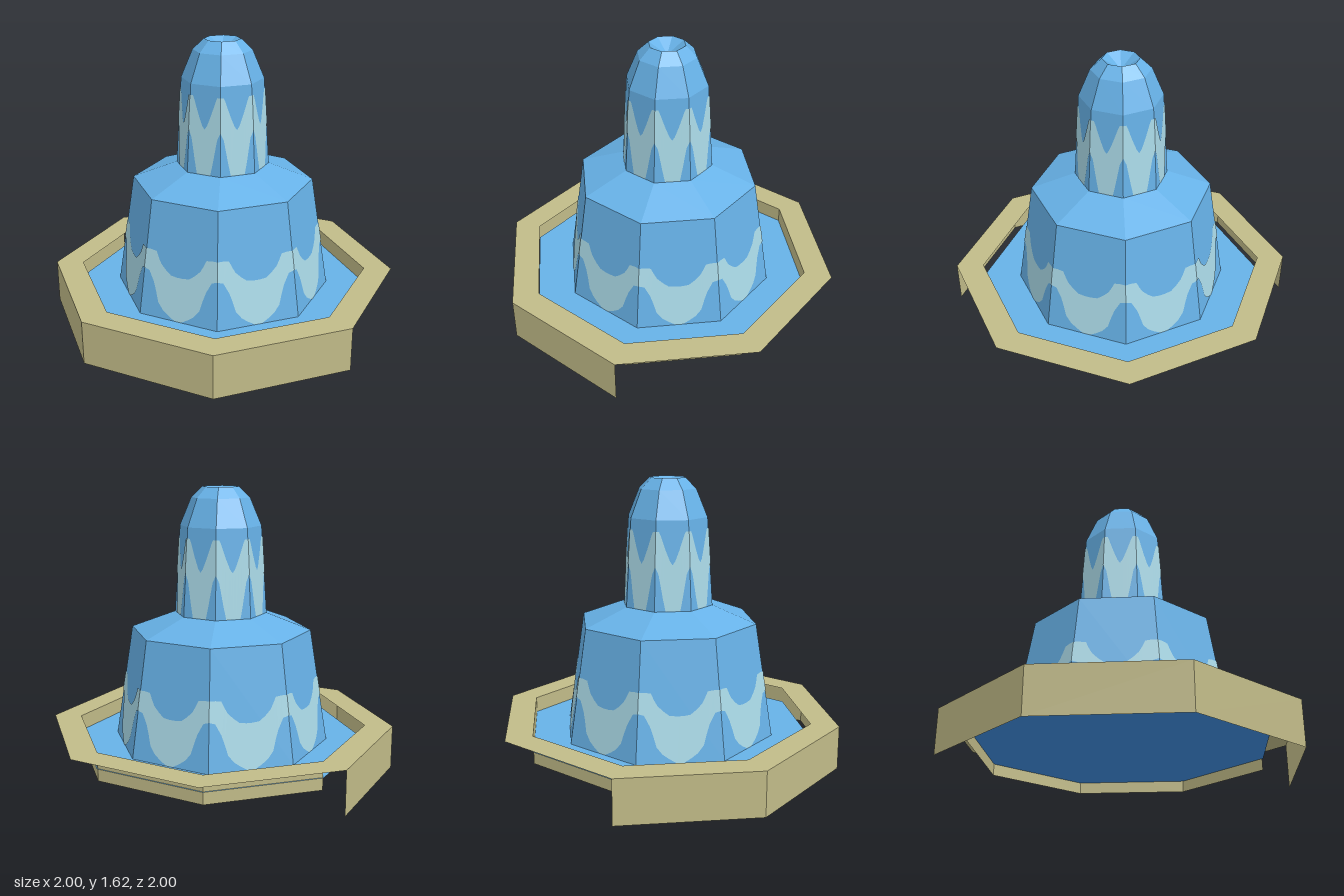
import * as THREE from 'three';

const SIDES = 8;
const stone = new THREE.MeshStandardMaterial({ name: 'sandstone', color: 0xc1bb88, flatShading: true, side: THREE.DoubleSide });
const water = new THREE.MeshStandardMaterial({ name: 'waterBlue', color: 0x67b2e8, flatShading: true });
const deepWater = new THREE.MeshStandardMaterial({ name: 'deepBlue', color: 0x3f8cdd, flatShading: true });
const foam = new THREE.MeshStandardMaterial({ name: 'paleFoam', color: 0xacdcea, flatShading: true });

function add(group, name, geometry, material, y = 0) {
  const mesh = new THREE.Mesh(geometry, material);
  mesh.name = name;
  mesh.position.y = y;
  group.add(mesh);
}

// Octagonal solid of revolution from [radius, height] pairs, bottom to top
function tier(profile) {
  return new THREE.LatheGeometry(profile.map(([r, y]) => new THREE.Vector2(r, y)), SIDES);
}

// Zigzag foam skin lying on a tapered octagonal tier.
// Rows are [t, low, high], t running from a facet edge (0) to its middle (1).
function foamBand(rows, [r0, y0], [r1, y1]) {
  const mirrored = rows.slice(0, -1).reverse().map(([t, lo, hi]) => [2 - t, lo, hi]);
  const columns = [...rows, ...mirrored];
  const positions = [];
  for (let k = 0; k < SIDES; k++) {
    const a = (k / SIDES) * Math.PI * 2;
    const b = ((k + 1) / SIDES) * Math.PI * 2;
    const point = (t, y) => {
      const r = r0 + ((r1 - r0) * (y - y0)) / (y1 - y0) + 0.003;
      const f = t / 2;
      return [
        r * (Math.sin(a) * (1 - f) + Math.sin(b) * f),
        y,
        r * (Math.cos(a) * (1 - f) + Math.cos(b) * f),
      ];
    };
    for (let i = 0; i < columns.length - 1; i++) {
      const [t0, lo0, hi0] = columns[i];
      const [t1, lo1, hi1] = columns[i + 1];
      const p = point(t0, lo0), q = point(t1, lo1), s = point(t1, hi1), u = point(t0, hi0);
      positions.push(...p, ...q, ...s, ...p, ...s, ...u);
    }
  }
  const geometry = new THREE.BufferGeometry();
  geometry.setAttribute('position', new THREE.Float32BufferAttribute(positions, 3));
  geometry.computeVertexNormals();
  return geometry;
}

export function createModel() {
  const fountain = new THREE.Group();
  fountain.name = 'fountain';

  // Basin: full flat rim, tall outer wall in front, short inner wall behind
  const basin = new THREE.Group();
  basin.name = 'basin';
  fountain.add(basin);
  add(basin, 'rim', new THREE.RingGeometry(0.84, 1, SIDES).rotateX(-Math.PI / 2), stone, 0.25);
  add(basin, 'frontOuterWall',
    new THREE.CylinderGeometry(1, 1, 0.25, SIDES / 2, 1, true, -Math.PI / 2, Math.PI), stone, 0.125);
  add(basin, 'backInnerWall',
    new THREE.CylinderGeometry(0.84, 0.84, 0.16, SIDES / 2, 1, true, Math.PI / 2, Math.PI), stone, 0.17);

  // Water sheet: bright above, deep blue underneath
  add(basin, 'waterSurface', new THREE.CircleGeometry(0.846, SIDES).rotateX(-Math.PI / 2), water, 0.16);
  add(basin, 'waterUnderside', new THREE.CircleGeometry(0.846, SIDES).rotateX(Math.PI / 2), deepWater, 0.157);

  // Lower cascade with its sloping shoulder
  const lowerBase = [0.62, 0.16], lowerTop = [0.515, 0.81];
  add(fountain, 'lowerCascade', tier([lowerBase, lowerTop, [0.263, 0.905]]), water);
  add(fountain, 'lowerFoam', foamBand([
    [0, 0.43, 0.54], [0.15, 0.42, 0.54], [0.3, 0.36, 0.535], [0.38, 0.31, 0.5],
    [0.46, 0.25, 0.47], [0.6, 0.21, 0.44], [0.75, 0.185, 0.415], [0.92, 0.162, 0.41], [1, 0.162, 0.41],
  ], lowerBase, lowerTop), foam);

  // Upper jet with a rounded crown and a sunken centre
  const upperBase = [0.263, 0.905], upperTop = [0.23, 1.4];
  add(fountain, 'upperJet',
    tier([upperBase, upperTop, [0.165, 1.555], [0.102, 1.615], [0, 1.55]]), water);
  add(fountain, 'upperFoam', foamBand([
    [0, 1.15, 1.34], [0.2, 1.11, 1.34], [0.3, 1.06, 1.32], [0.45, 0.98, 1.28],
    [0.6, 0.907, 1.24], [0.85, 0.907, 1.18], [1, 0.907, 1.16],
  ], upperBase, upperTop), foam);

  return fountain;
}
